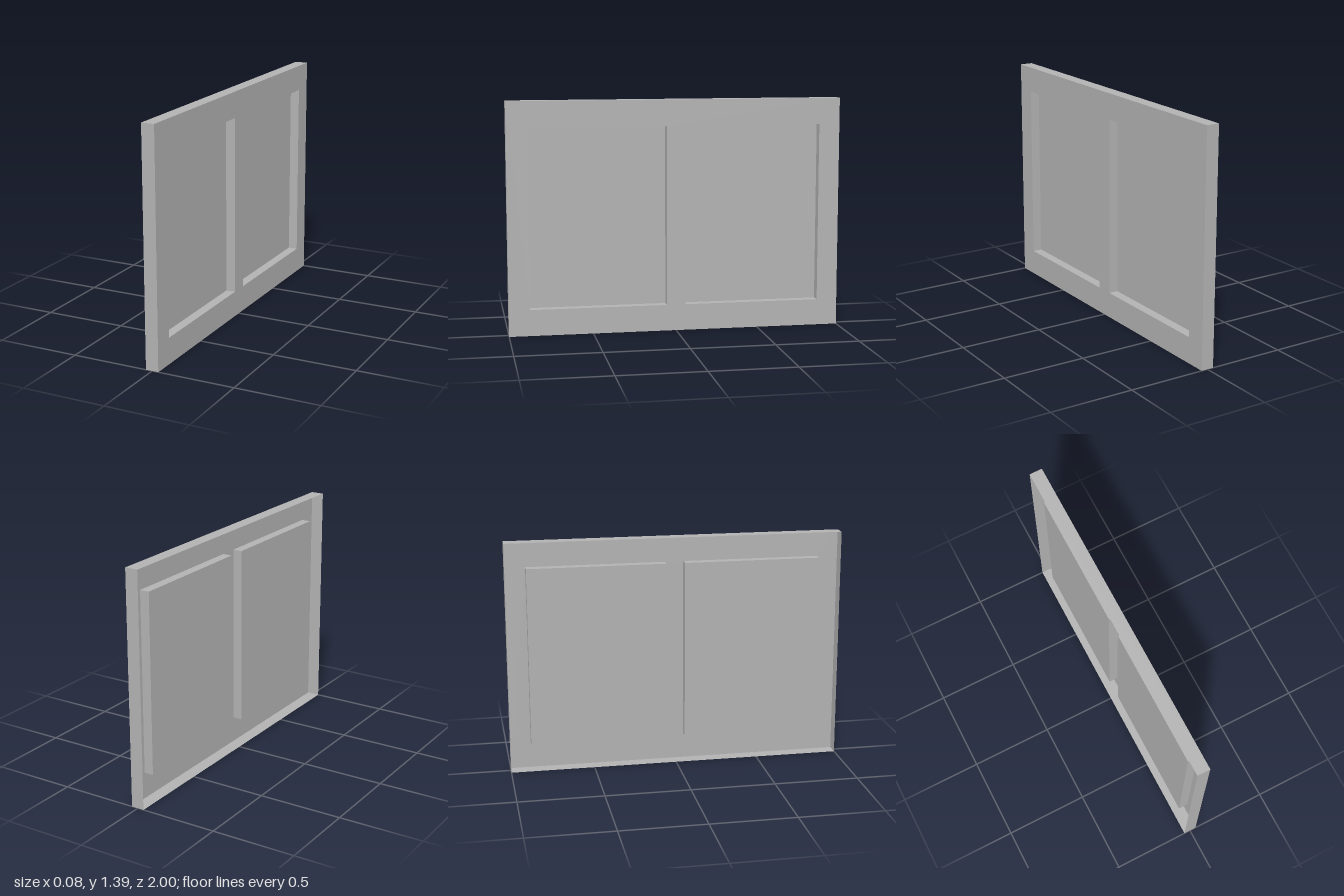
import * as THREE from 'three';

const HEIGHT = 1.388, FACE_X = 0.039, BACK_X = -0.039, PANEL_X = -0.018;

export function createModel() {
  const model = new THREE.Group();
  const grey = new THREE.MeshStandardMaterial({ color: 0xb2b2b2, side: THREE.DoubleSide });
  grey.name = 'grey';

  const add = (name, geometry) => {
    const mesh = new THREE.Mesh(geometry, grey);
    mesh.name = name;
    model.add(mesh);
  };

  // Rectangle outline; its first axis runs along -z once turned to face +x
  const corners = (r) => [[r.a, r.b], [r.c, r.b], [r.c, r.d], [r.a, r.d]]
    .map(([u, v]) => new THREE.Vector2(u, v));

  // Thin sheet facing +x at depth x
  const sheet = (r, x, holes = []) => {
    const shape = new THREE.Shape(corners(r));
    holes.forEach((h) => shape.holes.push(new THREE.Path(corners(h).reverse())));
    return new THREE.ShapeGeometry(shape).rotateY(Math.PI / 2).translate(x, 0, 0);
  };

  // Four thin walls around a rectangle, between two depths; side +1 faces out, -1 in
  const sleeve = (r, x0, x1, side) => {
    const pts = corners(r), pos = [];
    pts.forEach((p, i) => {
      const q = pts[(i + 1) % 4];
      const quad = [[x0, p.y, -p.x], [x0, q.y, -q.x], [x1, q.y, -q.x], [x1, p.y, -p.x]];
      const order = side > 0 ? [0, 1, 2, 0, 2, 3] : [0, 2, 1, 0, 3, 2];
      order.forEach((k) => pos.push(...quad[k]));
    });
    const g = new THREE.BufferGeometry();
    g.setAttribute('position', new THREE.Float32BufferAttribute(pos, 3));
    g.computeVertexNormals();
    return g;
  };

  const outer = { a: -1, b: 0, c: 1, d: HEIGHT };
  const panels = [
    { a: -0.875, b: 0.157, c: -0.056, d: 1.231 },
    { a: 0.056, b: 0.157, c: 0.875, d: 1.231 },
  ];

  // Face plate with two openings, and the rim behind it (open at the back)
  add('facePlate', sheet(outer, FACE_X, panels));
  add('outerRim', sleeve(outer, BACK_X, FACE_X, 1));

  // Two recessed panels
  panels.forEach((p, i) => {
    const end = i ? 'back' : 'front';
    add(end + 'RecessWalls', sleeve(p, PANEL_X, FACE_X, -1));
    add(end + 'RecessPanel', sheet(p, PANEL_X));
  });

  return model;
}
